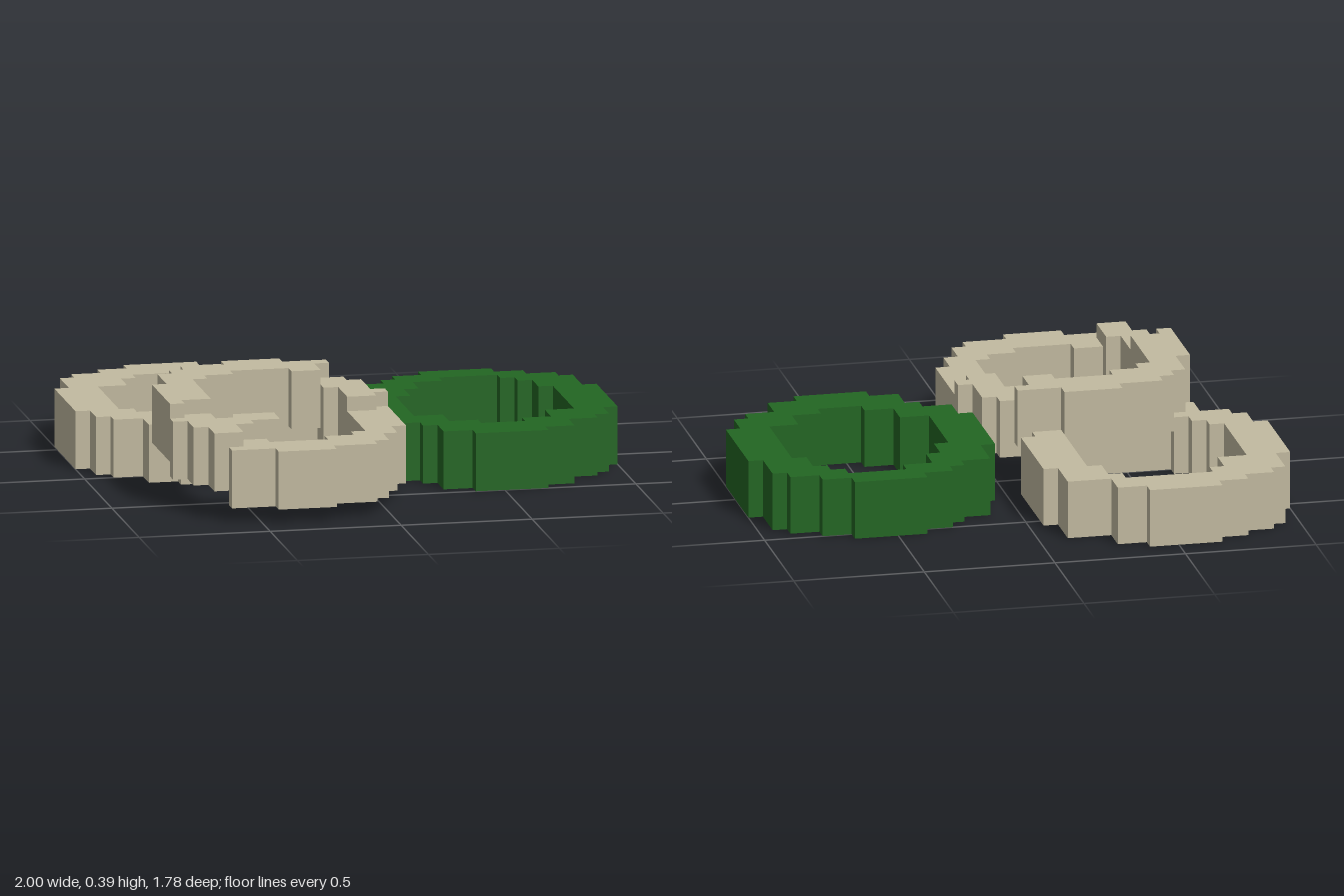
import * as THREE from 'three';

const U = 2 / 36; // one block

// Each row: [first row, last row, outer left, outer right, hole left, hole right]
const backRows = [
  [0, 0, 6, 11], [1, 1, 4, 13], [2, 2, 2, 13], [3, 3, 1, 16, 6, 12], [4, 5, 1, 16, 5, 13],
  [6, 12, 0, 17, 3, 14], [13, 13, 1, 16, 4, 14], [14, 14, 1, 16, 5, 13], [15, 15, 2, 16, 6, 12],
  [16, 17, 4, 13], [18, 18, 6, 11],
];
const tiltedRows = [
  [13, 13, 10, 14], [14, 14, 7, 17], [15, 15, 6, 18], [16, 16, 5, 19, 10, 14], [17, 17, 5, 19, 8, 16],
  [18, 18, 5, 19, 7, 17], [19, 25, 4, 20, 7, 17], [26, 26, 5, 19, 7, 17], [27, 27, 5, 19, 8, 16],
  [28, 28, 6, 18, 10, 14], [29, 29, 6, 18], [30, 30, 7, 17], [31, 31, 10, 14],
];
const greenRows = [
  [6, 6, 25, 30], [7, 7, 23, 32], [8, 8, 22, 34, 26, 30], [9, 9, 20, 35, 24, 31], [10, 10, 20, 35, 24, 32],
  [11, 11, 20, 35, 23, 32], [12, 12, 19, 36, 23, 33], [13, 18, 19, 36, 22, 33], [19, 20, 20, 35, 24, 31],
  [21, 21, 22, 34, 26, 29], [22, 23, 23, 32], [24, 24, 25, 30],
];

// The leaning ring steps down towards the front left corner and the right side
function tiltedBase(i, k) {
  const firstDrop = i <= 4 ? 25 : i <= 15 ? 24 : 15;
  const secondDrop = i < 8 ? 30 : i < 19 ? 21 : 20;
  return k >= secondDrop ? 1 : k >= firstDrop ? 2 : 3;
}

// Fills a ring with blocks, four high from its base level
function ringCells(rows, base) {
  const cells = [];
  for (const [k0, k1, left, right, holeL = 0, holeR = 0] of rows)
    for (let k = k0; k <= k1; k++)
      for (let i = left; i < right; i++) {
        if (i >= holeL && i < holeR) continue;
        const b = base(i, k);
        for (let j = b; j < b + 4; j++) cells.push([i, j, k]);
      }
  return cells;
}

const key = (i, j, k) => `${i},${j},${k}`;

// Builds only the outer faces of the blocks
function blockGeometry(cells, filled) {
  const pos = [], nor = [];
  for (const c of cells)
    for (let axis = 0; axis < 3; axis++)
      for (const s of [-1, 1]) {
        const n = [0, 0, 0];
        n[axis] = s;
        if (filled.has(key(c[0] + n[0], c[1] + n[1], c[2] + n[2]))) continue;
        const corner = (a, b) => {
          const p = [...c];
          p[axis] += s > 0 ? 1 : 0;
          p[(axis + 1) % 3] += a;
          p[(axis + 2) % 3] += b;
          return [(p[0] - 18) * U, p[1] * U, (p[2] - 16) * U];
        };
        const q = [corner(0, 0), corner(1, 0), corner(1, 1), corner(0, 1)];
        if (s < 0) q.reverse();
        for (const v of [0, 1, 2, 0, 2, 3]) {
          pos.push(...q[v]);
          nor.push(...n);
        }
      }
  const g = new THREE.BufferGeometry();
  g.setAttribute('position', new THREE.Float32BufferAttribute(pos, 3));
  g.setAttribute('normal', new THREE.Float32BufferAttribute(nor, 3));
  return g;
}

export function createModel() {
  const beige = new THREE.MeshStandardMaterial({ color: 0xc2baa0 });
  beige.name = 'beige';
  const green = new THREE.MeshStandardMaterial({ color: 0x226622 });
  green.name = 'green';

  const flat = () => 0;
  const parts = [
    ['backRing', backRows, flat, beige],
    ['tiltedRing', tiltedRows, tiltedBase, beige],
    ['greenRing', greenRows, flat, green],
  ];

  // Shared blocks belong to the first ring that claims them
  const filled = new Set();
  const group = new THREE.Group();
  group.name = 'threeRings';
  const built = parts.map(([name, rows, base, material]) => {
    const cells = ringCells(rows, base).filter((c) => !filled.has(key(...c)));
    cells.forEach((c) => filled.add(key(...c)));
    return { name, cells, material };
  });
  for (const { name, cells, material } of built) {
    const mesh = new THREE.Mesh(blockGeometry(cells, filled), material);
    mesh.name = name;
    group.add(mesh);
  }
  return group;
}
